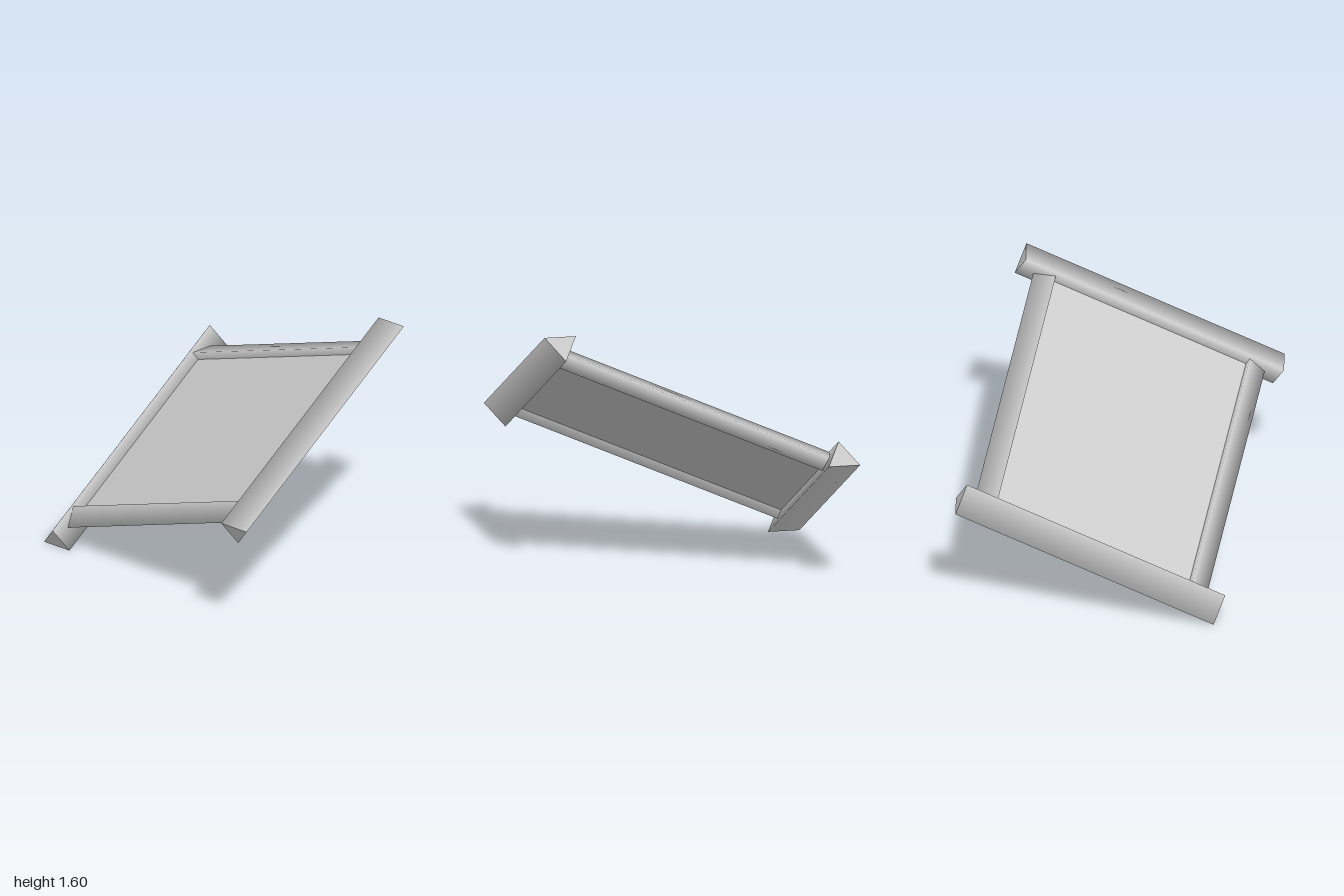
import * as THREE from 'three';

const CENTRE = new THREE.Vector3(0, 0.805, 0);
const alongBars = new THREE.Vector3(1.59, 0.785, -0.01); // direction and length of the long bars
const alongRails = new THREE.Vector3(0.34, -0.67, -1.61); // direction and length of the side rails

// Smooth three-sided bar, from the three corners of one end and the run to the other end
function triangularBar(name, material, corners, run) {
  const [tip, a, b] = corners;
  const middle = tip.clone().add(a).add(b).divideScalar(3);
  const zAxis = tip.clone().sub(middle);
  const xAxis = a.clone().sub(b).divideScalar(Math.sqrt(3));
  // keep the faces pointing outwards
  if (xAxis.dot(run.clone().cross(zAxis)) < 0) xAxis.negate();
  const matrix = new THREE.Matrix4().makeBasis(xAxis, run, zAxis);
  matrix.setPosition(middle.addScaledVector(run, 0.5));
  const geometry = new THREE.CylinderGeometry(1, 1, 1, 3, 1).applyMatrix4(matrix);
  const mesh = new THREE.Mesh(geometry, material);
  mesh.name = name;
  return mesh;
}

export function createModel() {
  const group = new THREE.Group();
  group.name = 'framedPanel';
  const grey = new THREE.MeshStandardMaterial({ color: 0xcccccc });
  grey.name = 'light grey';
  grey.side = THREE.DoubleSide;

  // End corners (tip first): left end of the front bar, back end of the left-hand (+x) rail
  const v = (x, y, z) => new THREE.Vector3(x, y, z).sub(CENTRE);
  const barEnd = [v(-0.93, 0.68, 0.835), v(-1, 0.82, 0.955), v(-1, 0.82, 0.757)];
  const railEnd = [v(0.79, 0.715, -0.766), v(0.88, 0.82, -0.79), v(0.74, 0.82, -0.82)];

  // Each bar and rail has a partner reflected through the centre
  const frame = [
    ['frontBar', barEnd, alongBars, 1],
    ['backBar', barEnd, alongBars, -1],
    ['leftRail', railEnd, alongRails, 1],
    ['rightRail', railEnd, alongRails, -1],
  ];
  for (const [name, corners, run, sign] of frame) {
    const direction = run.clone().multiplyScalar(name.endsWith('Rail') ? -sign : sign);
    group.add(triangularBar(name, grey, corners.map((c) => c.clone().multiplyScalar(sign)), direction));
  }

  // Thin sheet stretched between the bar and rail centre lines
  const xAxis = alongBars.clone().multiplyScalar(0.8);
  const yAxis = alongRails.clone().multiplyScalar(1.04);
  const normal = xAxis.clone().cross(yAxis).normalize();
  const sheet = new THREE.PlaneGeometry(1, 1).applyMatrix4(new THREE.Matrix4().makeBasis(xAxis, yAxis, normal));
  const panel = new THREE.Mesh(sheet, grey);
  panel.name = 'panel';
  group.add(panel);

  group.position.copy(CENTRE);
  return group;
}
